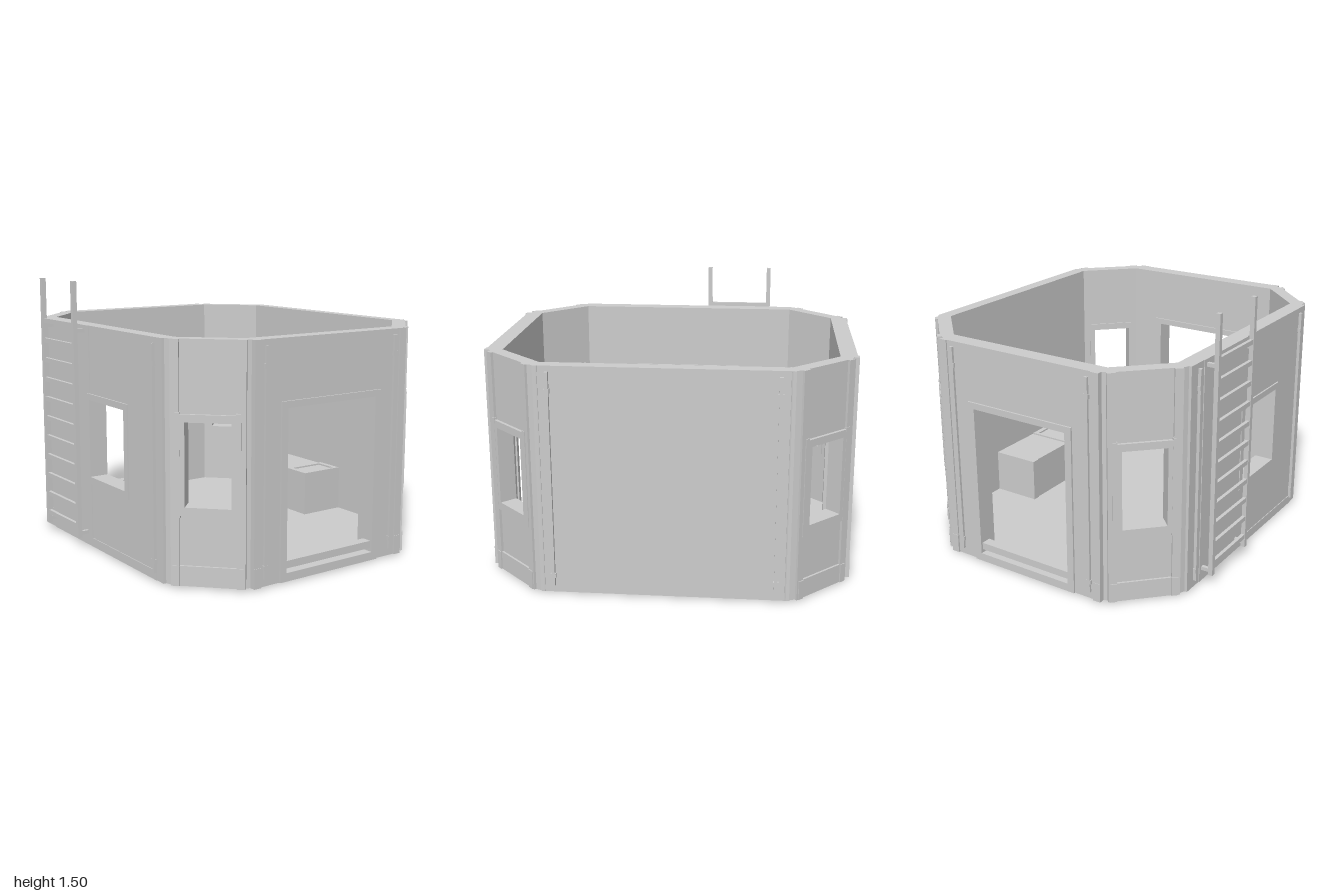
import * as THREE from 'three';

const grey = new THREE.MeshStandardMaterial({ color: 0xcccccc });
grey.name = 'panelGrey';

const BOTTOM = 0.01, TOP = 1.26;

// Box given by its extents on each axis
function box(parent, name, [x0, x1], [y0, y1], [z0, z1]) {
  const m = new THREE.Mesh(new THREE.BoxGeometry(x1 - x0, y1 - y0, z1 - z0), grey);
  m.position.set((x0 + x1) / 2, (y0 + y1) / 2, (z0 + z1) / 2);
  m.name = name;
  parent.add(m);
  return m;
}

// Upright slab with an optional rectangular opening; rectangles are [u0, u1, v0, v1]
function slab(parent, name, r, hole, z0, z1) {
  const pts = ([a, b, c, d]) => [[a, c], [b, c], [b, d], [a, d]].map(p => new THREE.Vector2(...p));
  const shape = new THREE.Shape(pts(r));
  if (hole) shape.holes.push(new THREE.Path(pts(hole).reverse()));
  const m = new THREE.Mesh(new THREE.ExtrudeGeometry(shape, { depth: z1 - z0, bevelEnabled: false }), grey);
  m.position.z = z0;
  m.name = name;
  parent.add(m);
}

// Slim upright conduit with two wider clips
function conduit(parent, u, z0, z1) {
  box(parent, 'conduit', [u - 0.009, u + 0.009], [0.05, 1.23], [z0, z1]);
  for (const y of [0.11, 1.13]) {
    box(parent, 'conduitClip', [u - 0.014, u + 0.014], [y - 0.012, y + 0.012], [z0, z1]);
  }
}

function named(parent, name) {
  const g = new THREE.Group();
  g.name = name;
  parent.add(g);
  return g;
}

export function createModel() {
  const root = new THREE.Group();
  root.name = 'octagonalCabin';

  // Floor: eight-sided slab
  const outline = [[-0.94, -0.5], [-0.64, -0.81], [0.64, -0.81], [0.94, -0.5],
    [0.94, 0.44], [0.64, 0.755], [-0.64, 0.755], [-0.94, 0.44]];
  const floor = new THREE.Mesh(new THREE.ExtrudeGeometry(
    new THREE.Shape(outline.map(([x, z]) => new THREE.Vector2(x, -z))),
    { depth: 0.05, bevelEnabled: false }), grey);
  floor.rotation.x = -Math.PI / 2;
  floor.name = 'floor';
  root.add(floor);

  // Front wall: window, outer and inner frames
  const front = named(root, 'frontWall');
  const window = [-0.08, 0.295, 0.415, 0.85];
  slab(front, 'frontPanel', [-0.663, 0.663, BOTTOM, TOP], window, 0.71, 0.798);
  slab(front, 'outerWindowFrame', [-0.115, 0.33, 0.375, 0.885], window, 0.798, 0.807);
  slab(front, 'innerWindowFrame', [-0.33, 0.33, 0.375, 0.885], [-0.08, 0.295, 0.415, 0.85], 0.70, 0.71);
  box(front, 'ladderPanel', [-0.54, -0.08], [BOTTOM, TOP], [0.798, 0.802]);
  box(front, 'lowerTrim', [-0.08, 0.6], [BOTTOM, 0.06], [0.798, 0.802]);
  for (const x of [-0.59, 0.59]) conduit(front, x, 0.798, 0.815);

  // Back wall
  const back = named(root, 'backWall');
  box(back, 'backPanel', [-0.663, 0.663], [BOTTOM, TOP], [-0.85, -0.775]);
  for (const x of [-0.59, 0.59]) conduit(back, x, -0.87, -0.85);

  // Side walls with doorways; u runs towards the back
  for (const s of [1, -1]) {
    const side = named(root, s > 0 ? 'leftWall' : 'rightWall');
    side.rotation.y = Math.PI / 2;
    const span = (a, b) => s > 0 ? [a, b] : [-b, -a];
    const door = [-0.27, 0.32, 0.055, 0.91];
    slab(side, 'doorWall', [-0.476, 0.535, BOTTOM, TOP], door, ...span(0.895, 0.987));
    slab(side, 'doorFrame', [-0.31, 0.36, BOTTOM, 0.945], door, ...span(0.987, 0.997));
    slab(side, 'innerDoorFrame', [-0.31, 0.36, BOTTOM, 0.945], door, ...span(0.885, 0.895));
    box(side, 'thresholdBar', [-0.27, 0.32], [0.075, 0.115], span(0.93, 0.985));
    for (const u of [-0.405, 0.455]) conduit(side, u, ...span(0.987, 1.0));
    for (const [a, b] of [[-0.476, -0.43], [0.49, 0.535]]) {
      box(side, 'edgeStrip', [a, b], [BOTTOM, TOP], span(0.987, 0.994));
      box(side, 'edgeFoot', [a, b], [BOTTOM, 0.115], span(0.987, 0.997));
    }
  }

  // Four chamfered corners with narrow windows
  for (const sx of [1, -1]) for (const sz of [1, -1]) {
    const corner = named(root, 'cornerWall');
    corner.position.set(0.837 * sx, 0, -0.03 + 0.675 * sz);
    corner.rotation.y = Math.atan2(sx, sz);
    const opening = [-0.117, 0.117, 0.42, 0.85];
    slab(corner, 'cornerPanel', [-0.15, 0.15, BOTTOM, TOP], opening, -0.088, -0.014);
    slab(corner, 'cornerWindowFrame', [-0.147, 0.147, 0.375, 0.89], opening, -0.014, 0.003);
    slab(corner, 'innerCornerFrame', [-0.147, 0.147, 0.375, 0.89], opening, -0.096, -0.088);
    box(corner, 'skirting', [-0.147, 0.147], [BOTTOM, 0.115], [-0.02, -0.002]);
    for (const e of [-1, 1]) {
      const u = (a, b) => e > 0 ? [a, b] : [-b, -a];
      box(corner, 'cornerPilaster', u(0.145, 0.19), [BOTTOM, TOP], [-0.088, 0]);
      box(corner, 'frameEar', u(0.14, 0.165), [0.365, 0.9], [-0.014, 0.004]);
      box(corner, 'cornerFoot', u(0.145, 0.18), [BOTTOM, 0.115], [-0.01, 0.005]);
    }
    // Set-back posts closing the joints to the straight walls
    for (const [x, z, turn] of [[0.663, 0.775, 0.39], [0.935, 0.5, 1.18]]) {
      const post = box(root, 'jointPost', [-0.04, 0.04], [BOTTOM, TOP], [-0.035, 0.035]);
      post.position.x = (x - (turn < 1 ? 0 : 0.005)) * sx;
      post.position.z = -0.03 + z * sz;
      post.rotation.y = Math.atan2(Math.sin(turn) * sx, Math.cos(turn) * sz);
    }
  }

  // Low cabinet inside the back wall, with a raised lid frame
  const cabinet = named(root, 'cabinet');
  box(cabinet, 'cabinetBody', [-0.255, 0.22], [0.05, 0.3], [-0.775, -0.5]);
  box(cabinet, 'cabinetEnd', [-0.3, -0.255], [0.05, 0.3], [-0.775, -0.495]);
  const lid = named(cabinet, 'cabinetLid');
  lid.rotation.x = -Math.PI / 2;
  slab(lid, 'lidFrame', [0.05, 0.22, 0.5, 0.77], [0.07, 0.2, 0.53, 0.74], 0.3, 0.309);

  // Ladder on the front
  const ladder = named(root, 'ladder');
  for (const x of [-0.51, -0.135]) {
    box(ladder, 'ladderRail', [x - 0.0125, x + 0.0125], [0.06, 1.5], [0.845, 0.87]);
    for (const y of [0.085, 1.23]) {
      box(ladder, 'ladderBracket', [x - 0.01, x + 0.01], [y - 0.01, y + 0.01], [0.798, 0.845]);
    }
  }
  for (let i = 0; i < 11; i++) {
    const y = 0.125 + i * 0.1135;
    box(ladder, 'rung', [-0.4975, -0.1475], [y - 0.013, y + 0.013], [0.848, 0.867]);
  }

  return root;
}
